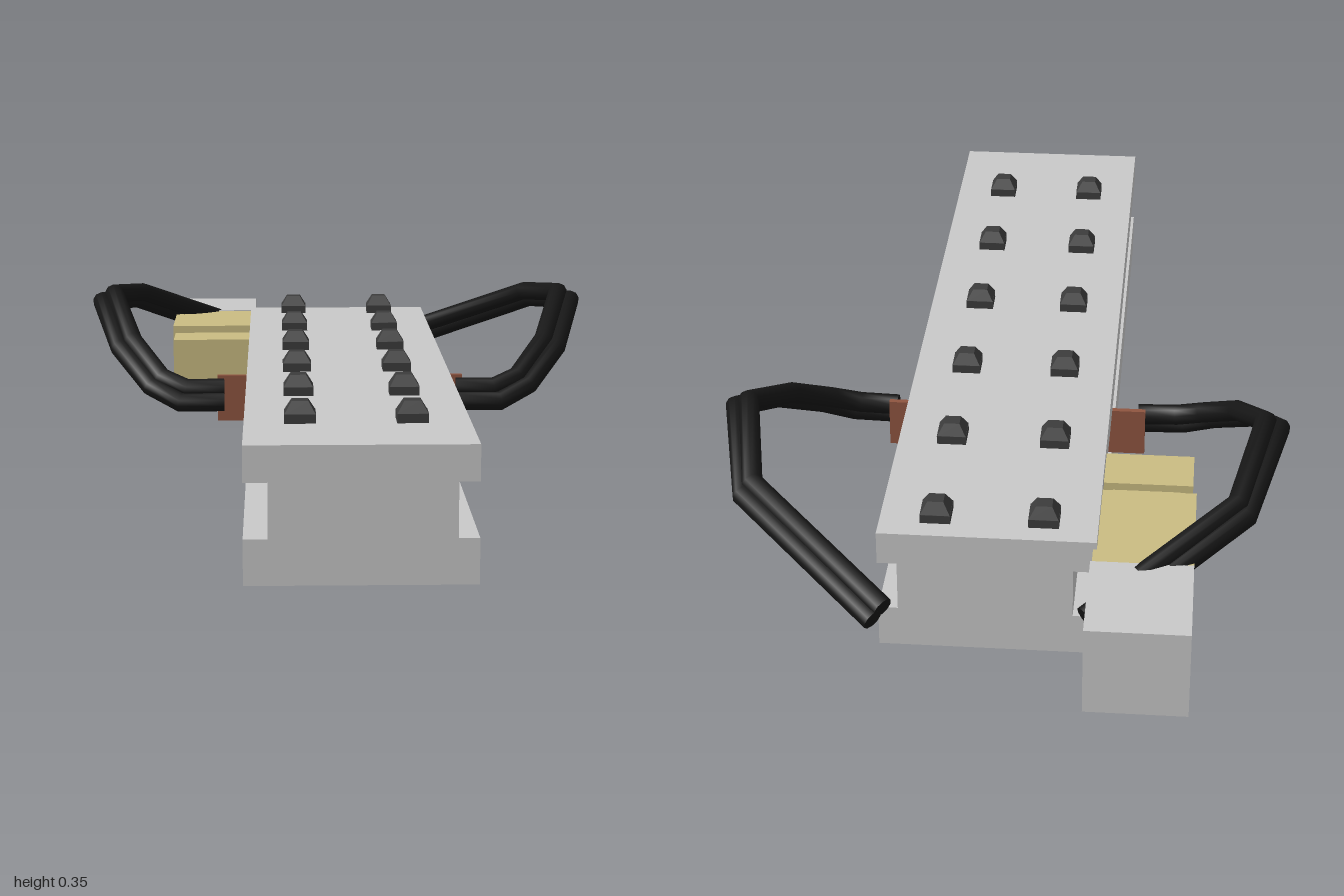
import * as THREE from 'three';

const mat = (name, color, flat = true) => new THREE.MeshStandardMaterial({ name, color });

// Straight-segment path that keeps every corner when swept as a tube
class Polyline extends THREE.Curve {
  constructor(points) { super(); this.points = points; }
  getPoint(t, target = new THREE.Vector3()) {
    const p = this.points, f = t * (p.length - 1);
    const i = Math.min(Math.floor(f + 1e-6), p.length - 2);
    return target.lerpVectors(p[i], p[i + 1], f - i);
  }
  getPointAt(t, target) { return this.getPoint(t, target); }
  getTangentAt(t, target = new THREE.Vector3()) {
    const p = this.points, i = Math.round(t * (p.length - 1));
    const dir = (a, b) => p[b].clone().sub(p[a]).normalize();
    target.set(0, 0, 0);
    if (i > 0) target.add(dir(i - 1, i));
    if (i < p.length - 1) target.add(dir(i, i + 1));
    return target.normalize();
  }
}

export function createModel() {
  const model = new THREE.Group();
  const metal = mat('light grey metal', 0xc8c8c8);
  const brass = mat('pale brass', 0xcabc82);
  const copper = mat('copper brown', 0x8f5540);
  const rubber = mat('black rubber', 0x161616);
  const studMat = mat('dark grey', 0x3c3c3c);

  const add = (name, geo, material, parent = model) => {
    const mesh = new THREE.Mesh(geo, material);
    mesh.name = name;
    parent.add(mesh);
    return mesh;
  };
  // Box given by its minimum and maximum corners
  const block = (name, a, b, material) => {
    const geo = new THREE.BoxGeometry(b[0] - a[0], b[1] - a[1], b[2] - a[2]);
    geo.translate((a[0] + b[0]) / 2, (a[1] + b[1]) / 2, (a[2] + b[2]) / 2);
    return add(name, geo, material);
  };

  // Long rail with a groove down each side
  const section = new THREE.Shape([
    [-0.197, 0], [0.211, 0], [0.211, 0.082], [0.174, 0.082], [0.174, 0.181], [0.211, 0.181],
    [0.211, 0.246], [-0.197, 0.246], [-0.197, 0.181], [-0.154, 0.181], [-0.154, 0.082], [-0.197, 0.082],
  ].map(([x, y]) => new THREE.Vector2(x, y)));
  const railGeo = new THREE.ExtrudeGeometry(section, { depth: 1.738, bevelEnabled: false });
  railGeo.translate(0, 0, -0.738);
  add('rail', railGeo, metal);

  // Two rows of square studs with tapered caps
  const studs = new THREE.Group();
  studs.name = 'studs';
  model.add(studs);
  const baseGeo = new THREE.BoxGeometry(0.057, 0.018, 0.057).translate(0, 0.009, 0);
  const capGeo = new THREE.CylinderGeometry(0.015 * Math.SQRT2, 0.0285 * Math.SQRT2, 0.023, 4)
    .rotateY(Math.PI / 4).toNonIndexed();
  capGeo.computeVertexNormals();
  capGeo.translate(0, 0.0285, 0);
  for (const x of [-0.096, 0.106]) {
    for (let i = 0; i < 6; i++) {
      const z = 0.772 - i * 0.288;
      add('studBase', baseGeo, studMat, studs).position.set(x, 0.245, z);
      add('studCap', capGeo, studMat, studs).position.set(x, 0.245, z);
    }
  }

  // Side connector: grey end block, brass body, neck and collar
  block('endBlock', [-0.376, 0.06, -1], [-0.187, 0.234, -0.78], metal);
  block('connectorBody', [-0.376, 0.06, -0.78], [-0.19, 0.232, -0.53], brass);
  block('connectorNeck', [-0.345, 0.085, -0.53], [-0.215, 0.207, -0.488], brass);
  block('connectorCollar', [-0.369, 0.072, -0.488], [-0.19, 0.222, -0.378], brass);

  // Contact tabs seated in the grooves
  block('leftTab', [0.174, 0.082, -0.14], [0.265, 0.181, -0.128], copper);
  block('rightTab', [-0.265, 0.082, -0.14], [-0.154, 0.181, -0.128], copper);

  // Paired bent cables, mirrored on both sides
  const strands = [
    [[0.25, 0.157, -0.107], [0.33, 0.157, -0.103], [0.385, 0.178, -0.125], [0.452, 0.243, -0.225],
      [0.503, 0.325, -0.405], [0.452, 0.295, -0.66], [0.183, 0.172, -0.87]],
    [[0.25, 0.13, -0.092], [0.345, 0.13, -0.088], [0.408, 0.16, -0.115], [0.48, 0.228, -0.22],
      [0.53, 0.308, -0.4], [0.468, 0.277, -0.675], [0.2, 0.152, -0.88]],
  ];
  const radius = 0.021;
  for (const side of [1, -1]) {
    const cable = new THREE.Group();
    cable.name = side > 0 ? 'leftCable' : 'rightCable';
    model.add(cable);
    for (const points of strands) {
      const path = new Polyline(points.map(([x, y, z]) => new THREE.Vector3(side * x, y, z)));
      add('strand', new THREE.TubeGeometry(path, points.length - 1, radius, 10), rubber, cable);
      for (const t of [0, 1]) {
        const cap = add('strandEnd', new THREE.CircleGeometry(radius, 10), rubber, cable);
        const normal = path.getTangentAt(t).multiplyScalar(t ? 1 : -1);
        cap.position.copy(path.getPoint(t));
        cap.quaternion.setFromUnitVectors(new THREE.Vector3(0, 0, 1), normal);
      }
    }
  }
  return model;
}
